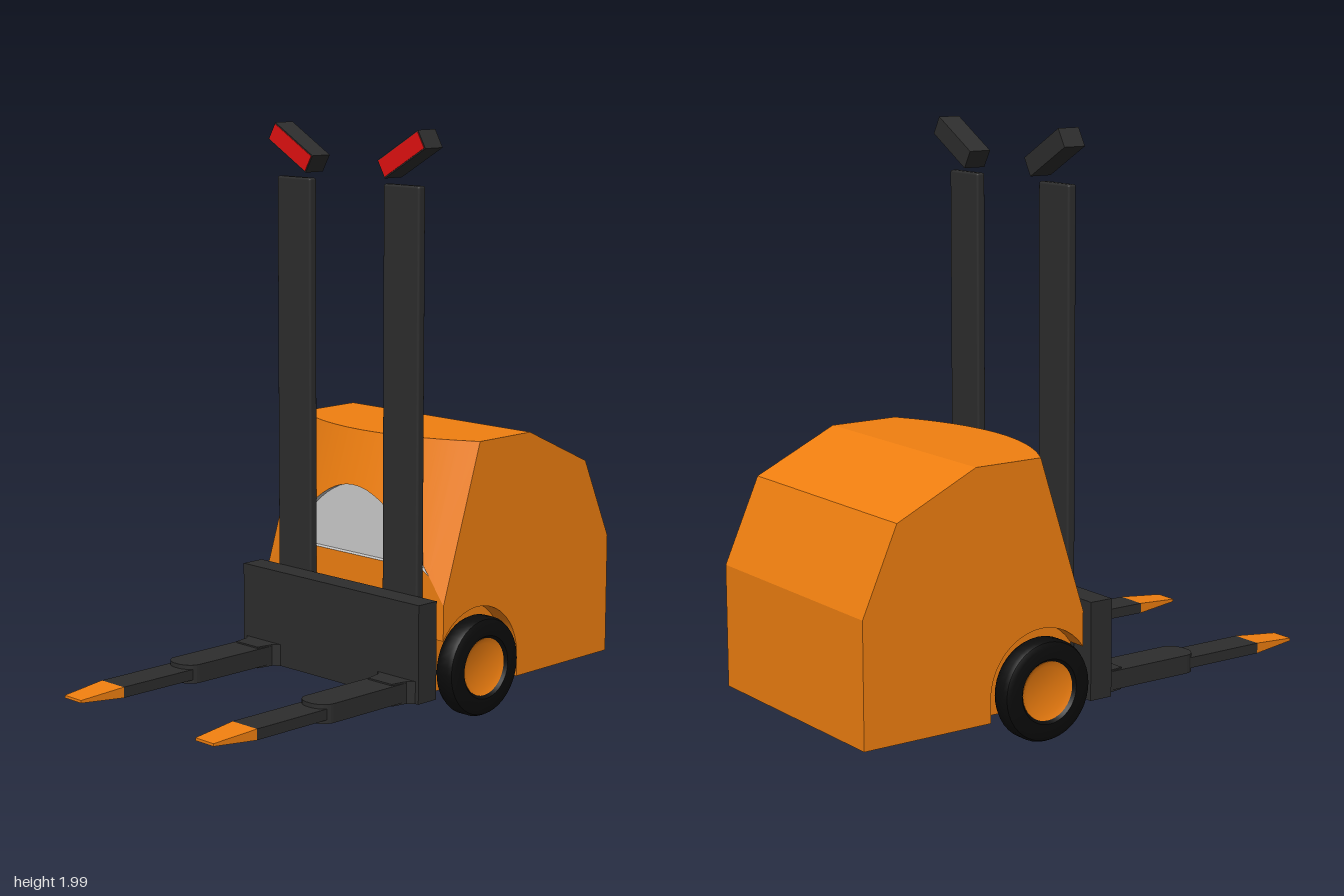
import * as THREE from 'three';
import { toCreasedNormals } from 'three/addons/utils/BufferGeometryUtils.js';
import { RoundedBoxGeometry } from 'three/addons/geometries/RoundedBoxGeometry.js';

const mat = (color, side = THREE.FrontSide) => new THREE.MeshStandardMaterial({ color, side });
const orange = mat(0xf07f10, THREE.DoubleSide);
const dark = mat(0x2d2d2d);
const black = mat(0x0b0b0b);
const red = mat(0xe01010);
const grey = mat(0xcccccc, THREE.DoubleSide);

const HALF = 0.43, WELL = 0.36, FRONT = -0.06, BASE = 0.095, TOP = 0.95, SILL = 0.52;
const AXLE = { y: 0.175, z: -0.23 };

function add(parent, name, geometry, material, x = 0, y = 0, z = 0) {
  const mesh = new THREE.Mesh(geometry, material);
  mesh.name = name;
  mesh.position.set(x, y, z);
  parent.add(mesh);
  return mesh;
}

// Bowed front: where its top edge lies, and how high the upright front face reaches
const topFrontZ = (x) => -0.11 - 0.125 * (x / HALF) ** 2;
const faceHeight = (x) => TOP - (FRONT - topFrontZ(x)) / (0.27 + 0.055 * (x / HALF) ** 2);

// Side section [z, y] of the body; the wheel arch is cut only in the outer slices
function bodySection(x, arch) {
  const y = faceHeight(x), r = 0.205;
  const pts = [[FRONT, y], [topFrontZ(x), TOP], [-0.49, TOP], [-0.79, 0.81], [-0.92, SILL], [-0.92, BASE],
    [AXLE.z - r, BASE]];
  const end = Math.acos((FRONT - AXLE.z) / r);
  for (let i = 0; i <= 16; i++) {
    const a = Math.PI + (end - Math.PI) * i / 16;
    pts.push([AXLE.z + r * Math.cos(a), arch ? AXLE.y + r * Math.sin(a) : BASE]);
  }
  pts.push([FRONT, Math.min(SILL, y)]);
  return pts;
}

// Recessed window: sill, pane and upper lip
function windowSection(x) {
  const y = faceHeight(x), low = Math.min(SILL, y);
  const depth = y > SILL ? FRONT - 0.025 : FRONT;
  return [[FRONT, low], [depth, low], [depth, y], [FRONT, y]];
}

// Skin joining matching sections placed along x
function loft(columns) {
  const pos = [], index = [], n = columns[0].pts.length;
  columns.forEach(({ x, pts }) => pts.forEach(([z, y]) => pos.push(x, y, z)));
  for (let i = 0; i < columns.length - 1; i++) {
    for (let j = 0; j < n - 1; j++) {
      const a = i * n + j, b = a + n;
      index.push(a, b, b + 1, a, b + 1, a + 1);
    }
  }
  const g = new THREE.BufferGeometry();
  g.setAttribute('position', new THREE.Float32BufferAttribute(pos, 3));
  g.setIndex(index);
  return toCreasedNormals(g, 0.35);
}

function createBody() {
  const body = new THREE.Group();
  body.name = 'body';
  const xs = [];
  for (let i = 0; i <= 24; i++) xs.push(-WELL + 2 * WELL * i / 24);
  const slice = (x, arch) => ({ x, pts: bodySection(x, arch) });
  add(body, 'shell', loft([
    slice(-HALF, true), slice(-WELL, true),
    ...xs.map((x) => slice(x, false)),
    slice(WELL, true), slice(HALF, true),
  ]), orange);
  add(body, 'window', loft(xs.map((x) => ({ x, pts: windowSection(x) }))), grey);

  // Flat side panels with the wheel arch
  const outline = new THREE.Shape(bodySection(HALF, true).map(([z, y]) => new THREE.Vector2(-z, y)));
  for (const s of [-1, 1]) {
    const panel = new THREE.ShapeGeometry(outline);
    if (s > 0) panel.rotateY(Math.PI / 2);
    else panel.scale(-1, 1, 1).rotateY(-Math.PI / 2);
    add(body, 'sidePanel', panel, orange, s * HALF);
  }
  return body;
}

function createWheel(side) {
  const wheel = new THREE.Group();
  wheel.name = 'wheel';
  const tyre = [[0.1, -0.03], [0.11, -0.042], [0.15, -0.042], [0.166, -0.034], [0.173, -0.02],
    [0.173, 0.02], [0.166, 0.034], [0.15, 0.042], [0.11, 0.042], [0.1, 0.03], [0.1, -0.03]];
  const tyreGeo = new THREE.LatheGeometry(tyre.map(([r, h]) => new THREE.Vector2(r, h)), 40);
  add(wheel, 'tyre', toCreasedNormals(tyreGeo, 0.6), black);
  const hub = [[0, -0.024], [0.08, -0.024], [0.1, -0.032], [0.1, 0.032], [0.08, 0.024], [0, 0.024]];
  const hubGeo = new THREE.LatheGeometry(hub.map(([r, h]) => new THREE.Vector2(r, h)), 40);
  add(wheel, 'hub', toCreasedNormals(hubGeo, 0.4), orange);
  wheel.rotation.z = Math.PI / 2;
  wheel.position.set(side * 0.431, AXLE.y, AXLE.z);
  return wheel;
}

// Slab from half of a symmetric plan outline [half width, z], between two heights
function slab(half, y0, y1) {
  const pts = [...half, ...half.slice().reverse().map(([w, z]) => [-w, z])];
  const shape = new THREE.Shape(pts.map(([x, z]) => new THREE.Vector2(x, z)));
  const g = new THREE.ExtrudeGeometry(shape, { depth: y1 - y0, bevelEnabled: false });
  return g.rotateX(Math.PI / 2).translate(0, y1, 0);
}

function createFork(side) {
  const fork = new THREE.Group();
  fork.name = 'fork';
  add(fork, 'forkBase', slab([[0.07, 0.04], [0.07, 0.06], [0.066, 0.08], [0.055, 0.14]].map(
    ([w, z], i) => [i < 2 ? 0.088 : w, z]), 0.095, 0.172), dark);
  const sleeve = [[0.066, 0.05], [0.066, 0.42]];
  for (let i = 1; i <= 6; i++) {
    const a = i * Math.PI / 14;
    sleeve.push([0.066 * Math.cos(a), 0.42 + 0.05 * Math.sin(a)]);
  }
  add(fork, 'forkSleeve', slab(sleeve, 0.102, 0.167), dark);
  add(fork, 'forkBlade', slab([[0.058, 0.4], [0.058, 0.75]], 0.115, 0.152), dark);

  // Tip tapering in width and height
  const tip = new THREE.BoxGeometry(0.116, 0.037, 0.17);
  const p = tip.attributes.position;
  for (let i = 0; i < p.count; i++) {
    if (p.getZ(i) > 0) p.setXY(i, p.getX(i) * 0.74, p.getY(i) * 0.25);
  }
  tip.computeVertexNormals();
  add(fork, 'forkTip', tip, orange, 0, 0.1335, 0.835);
  fork.position.x = side * 0.328;
  return fork;
}

function createMast(side) {
  const mast = new THREE.Group();
  mast.name = 'mast';
  add(mast, 'mastRail', new RoundedBoxGeometry(0.165, 1.717, 0.033, 2, 0.008), dark, side * 0.257, 0.9535, -0.042);
  // Tilted lamp with a red front
  const lamp = new THREE.Group();
  lamp.name = 'lamp';
  add(lamp, 'lampHousing', new THREE.BoxGeometry(0.213, 0.068, 0.082), dark);
  add(lamp, 'lampLens', new THREE.BoxGeometry(0.205, 0.06, 0.004), red, 0, 0, 0.041);
  lamp.position.set(side * 0.264, 1.913, -0.06);
  lamp.rotation.z = side * Math.PI / 6;
  mast.add(lamp);
  return mast;
}

export function createModel() {
  const model = new THREE.Group();
  model.name = 'forklift';
  model.add(createBody());
  add(model, 'carriagePlate', new THREE.BoxGeometry(0.86, 0.34, 0.087), dark, 0, 0.265, 0.0165);
  for (const side of [-1, 1]) {
    model.add(createWheel(side), createFork(side), createMast(side));
  }
  return model;
}
